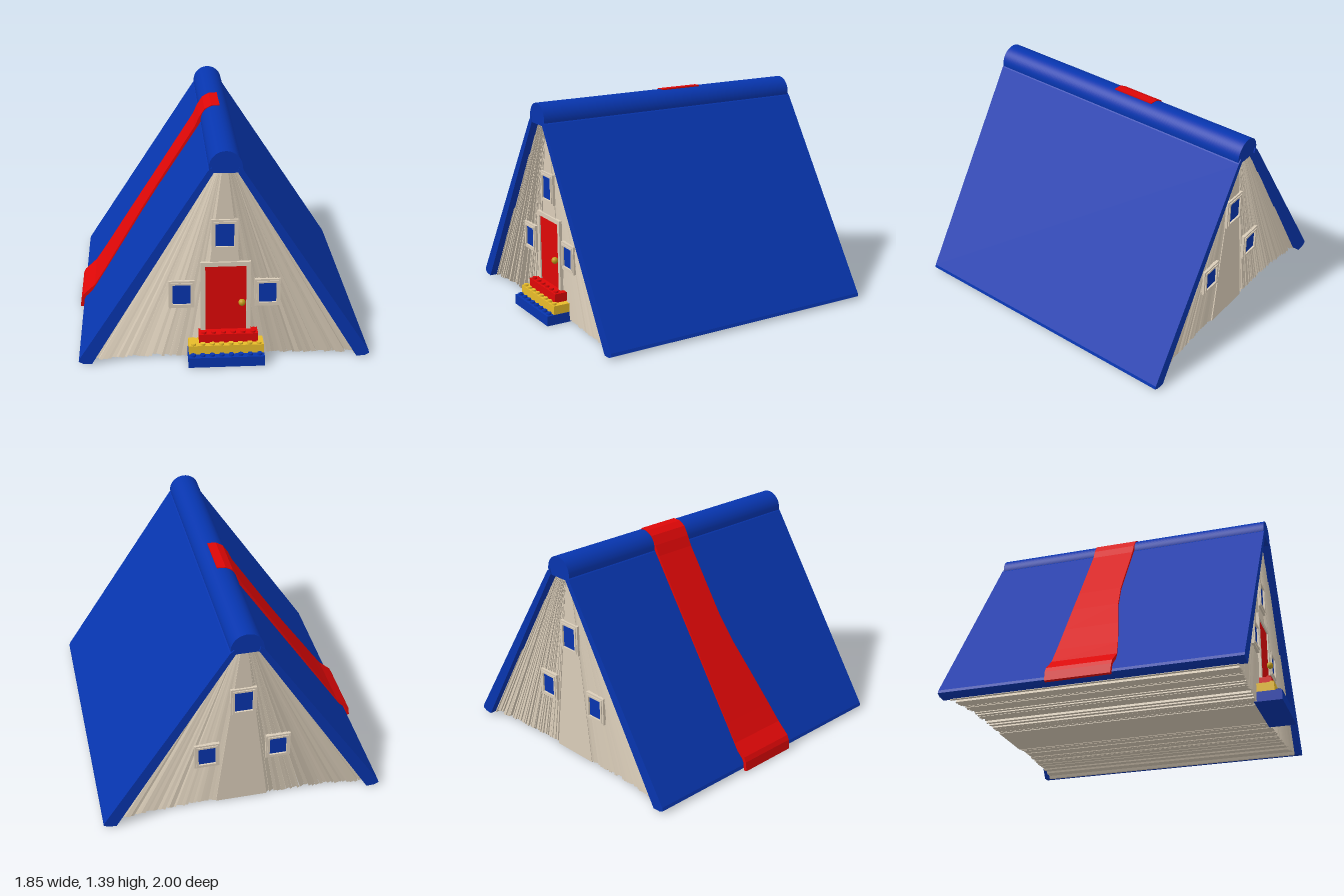
import * as THREE from 'three';

const CX = 0.01; // symmetry line of the tent
const FRONT = 0.85, BACK = -0.918; // faces of the page block at its middle

const mat = (name, color) => {
  const m = new THREE.MeshStandardMaterial({ color });
  m.name = name;
  return m;
};

export function createModel() {
  const model = new THREE.Group();
  model.name = 'bookHouse';
  const blue = mat('coverBlue', 0x0735ae);
  const red = mat('brightRed', 0xde0707);
  const paper = mat('paperCream', 0xdacdb9);
  const yellow = mat('brickYellow', 0xe8bc2a);
  const gold = mat('knobGold', 0xc09c1c);

  const add = (name, geo, material, parent = model) => {
    const mesh = new THREE.Mesh(geo, material);
    mesh.name = name;
    parent.add(mesh);
    return mesh;
  };
  const box = (name, material, x0, x1, y0, y1, z0, z1, parent) => {
    const g = new THREE.BoxGeometry(x1 - x0, y1 - y0, z1 - z0);
    g.translate((x0 + x1) / 2, (y0 + y1) / 2, (z0 + z1) / 2);
    return add(name, g, material, parent);
  };
  const prism = (name, material, shape, z0, z1, parent) => {
    const g = new THREE.ExtrudeGeometry(shape, { depth: z1 - z0, bevelEnabled: false, curveSegments: 28 });
    g.translate(0, 0, z0);
    return add(name, g, material, parent);
  };
  const polygon = pts => new THREE.Shape(pts.map(p => new THREE.Vector2(...p)));

  let seed = 7;
  const rand = () => (seed = (seed * 16807) % 2147483647) / 2147483647;

  // Cover boards, leaning against each other and thinning towards the spine
  for (const s of [1, -1]) {
    const pts = [[0.07, 1.268], [0.832, 0.012], [0.885, 0.015], [0.914, 0.03], [0.908, 0.05], [0.105, 1.278], [0.08, 1.3]];
    prism(s > 0 ? 'leftCover' : 'rightCover', blue, polygon(pts.map(([x, y]) => [CX + s * x, y])), -0.995, 0.918);
  }

  // Rounded spine with a flat underside
  const spine = new THREE.Shape();
  spine.absarc(CX, 1.298, 0.1, -0.36, Math.PI + 0.36, false);
  prism('spine', blue, spine, -0.988, 0.915);

  // Pages: wedges fanning out from the spine, each with a slanted edge
  const pages = new THREE.Group();
  pages.name = 'pages';
  model.add(pages);
  const addPage = (t0, t1, relief, name) => {
    const g = new THREE.BoxGeometry(2, 2, 2);
    const p = g.attributes.position;
    const foot = relief ? 0.008 + rand() * 0.018 : 0.015;
    const inset = [rand() * relief * 0.5, relief * (0.5 + rand() * 0.5)];
    if (t0 < 0) inset.reverse();
    for (let i = 0; i < p.count; i++) {
      const t = p.getX(i) < 0 ? t0 : t1;
      const top = p.getY(i) > 0;
      const d = inset[p.getX(i) < 0 ? 0 : 1] * (top ? 0.3 : 1);
      const flare = t ** 4; // outermost pages reach closer to the cover edge
      const z = p.getZ(i) > 0 ? FRONT - d + 0.035 * flare : BACK + d - 0.045 * flare;
      p.setXYZ(i, CX + t * (top ? 0.082 : 0.845), top ? 1.27 : foot, z);
    }
    g.computeVertexNormals();
    add(name, g, paper, pages);
  };
  addPage(-0.2, 0.2, 0, 'centrePage');
  const count = 26;
  for (const s of [1, -1]) {
    let a = 0.2;
    for (let i = 0; i < count; i++) {
      const b = i === count - 1 ? 1 : 0.2 + 0.8 * (i + 0.75 + rand() * 0.5) / count;
      addPage(Math.min(s * a, s * b), Math.max(s * a, s * b), 0.022, 'page');
      a = b;
    }
  }

  // Windows on both gables: stepped frame around a blue pane
  const frameShape = (w, h, b) => {
    const f = polygon([[-w, -h], [w, -h], [w, h], [-w, h]]);
    f.holes.push(polygon([[-w + b, -h + b], [-w + b, h - b], [w - b, h - b], [w - b, -h + b]]));
    return f;
  };
  const addWindow = (x, y, w, h, back) => {
    const win = new THREE.Group();
    win.name = back ? 'backWindow' : 'frontWindow';
    prism('windowFrame', paper, frameShape(w, h, 0.022), -0.03, 0.012, win);
    prism('windowInnerFrame', paper, frameShape(w - 0.012, h - 0.012, 0.013), 0.0, 0.018, win);
    box('windowPane', blue, -w + 0.02, w - 0.02, -h + 0.02, h - 0.02, -0.002, 0.006, win);
    win.position.set(x, y, back ? BACK : FRONT);
    if (back) win.rotation.y = Math.PI;
    model.add(win);
  };
  for (const back of [false, true]) {
    addWindow(CX, 0.842, 0.082, 0.1, back);
    for (const s of [1, -1]) {
      addWindow(CX + s * (back ? 0.23 : 0.267), back ? 0.434 : 0.448, 0.08, 0.091, back);
    }
  }

  // Door with its surround and knob
  const rim = FRONT + 0.012;
  box('doorPost', paper, -0.14, -0.11, 0.15, 0.66, 0.8, rim);
  box('doorPost', paper, 0.145, 0.172, 0.15, 0.66, 0.8, rim);
  box('doorLintel', paper, -0.11, 0.145, 0.632, 0.66, 0.8, rim);
  box('door', red, -0.11, 0.145, 0.19, 0.632, 0.8, FRONT + 0.003);
  const knob = new THREE.SphereGeometry(0.022, 20, 14);
  knob.translate(0.117, 0.388, FRONT + 0.02);
  add('doorKnob', knob, gold);

  // Studded brick steps
  const steps = [
    ['bottomStep', blue, -0.222, 0.252, 0.01, 0.076, 1.0, 0.973],
    ['middleStep', yellow, -0.218, 0.25, 0.076, 0.134, 0.952, 0.935],
    ['topStep', red, -0.153, 0.215, 0.14, 0.198, 0.924, 0.902],
  ];
  for (const [name, m, x0, x1, y0, y1, z1, studZ] of steps) {
    const step = new THREE.Group();
    step.name = name;
    model.add(step);
    box('brick', m, x0, x1, y0, y1, 0.82, z1, step);
    const n = Math.round((x1 - x0) / 0.06);
    for (let i = 0; i < n; i++) {
      const stud = new THREE.CylinderGeometry(0.016, 0.016, 0.014, 16);
      stud.translate(x0 + (i + 0.5) * (x1 - x0) / n, y1 + 0.006, studZ);
      add('stud', stud, m, step);
    }
  }

  // Bookmark ribbon: sections [x, y, back z, front z] from ridge to hem
  const path = [
    [0.035, 1.403, -0.285, 0.005], [-0.02, 1.4, -0.288, 0.005], [-0.065, 1.375, -0.288, 0.003],
    [-0.1, 1.32, -0.288, 0.0], [-0.13, 1.255, -0.286, 0.0], [-0.39, 0.85, -0.286, 0.005],
    [-0.5, 0.68, -0.286, 0.025], [-0.63, 0.478, -0.286, 0.07], [-0.75, 0.29, -0.286, 0.11],
    [-0.825, 0.178, -0.287, 0.13], [-0.905, 0.105, -0.288, 0.13], [-0.92, 0.075, -0.288, 0.128], [-0.928, 0.015, -0.288, 0.125],
  ];
  const pos = [], idx = [];
  path.forEach(([x, y, z0, z1], i) => {
    const a = path[Math.max(i - 1, 0)], b = path[Math.min(i + 1, path.length - 1)];
    const dx = b[0] - a[0], dy = b[1] - a[1], l = Math.hypot(dx, dy);
    const ix = x - (dy / l) * 0.022, iy = y + (dx / l) * 0.022; // inner side
    // outer pair, then inner pair
    pos.push(x, y, z0, x, y, z1, ix, iy, z0, ix, iy, z1);
    if (i === path.length - 1) return;
    const o = i * 4;
    for (const [p, q] of [[0, 1], [1, 3], [3, 2], [2, 0]]) {
      idx.push(o + p, o + 4 + p, o + q, o + q, o + 4 + p, o + 4 + q);
    }
  });
  const e = (path.length - 1) * 4;
  idx.push(0, 1, 2, 1, 3, 2, e, e + 2, e + 1, e + 1, e + 2, e + 3);
  const ribbon = new THREE.BufferGeometry();
  ribbon.setAttribute('position', new THREE.Float32BufferAttribute(pos, 3));
  ribbon.setIndex(idx);
  const ribbonGeo = ribbon.toNonIndexed();
  ribbonGeo.computeVertexNormals();
  add('ribbon', ribbonGeo, red);

  return model;
}
